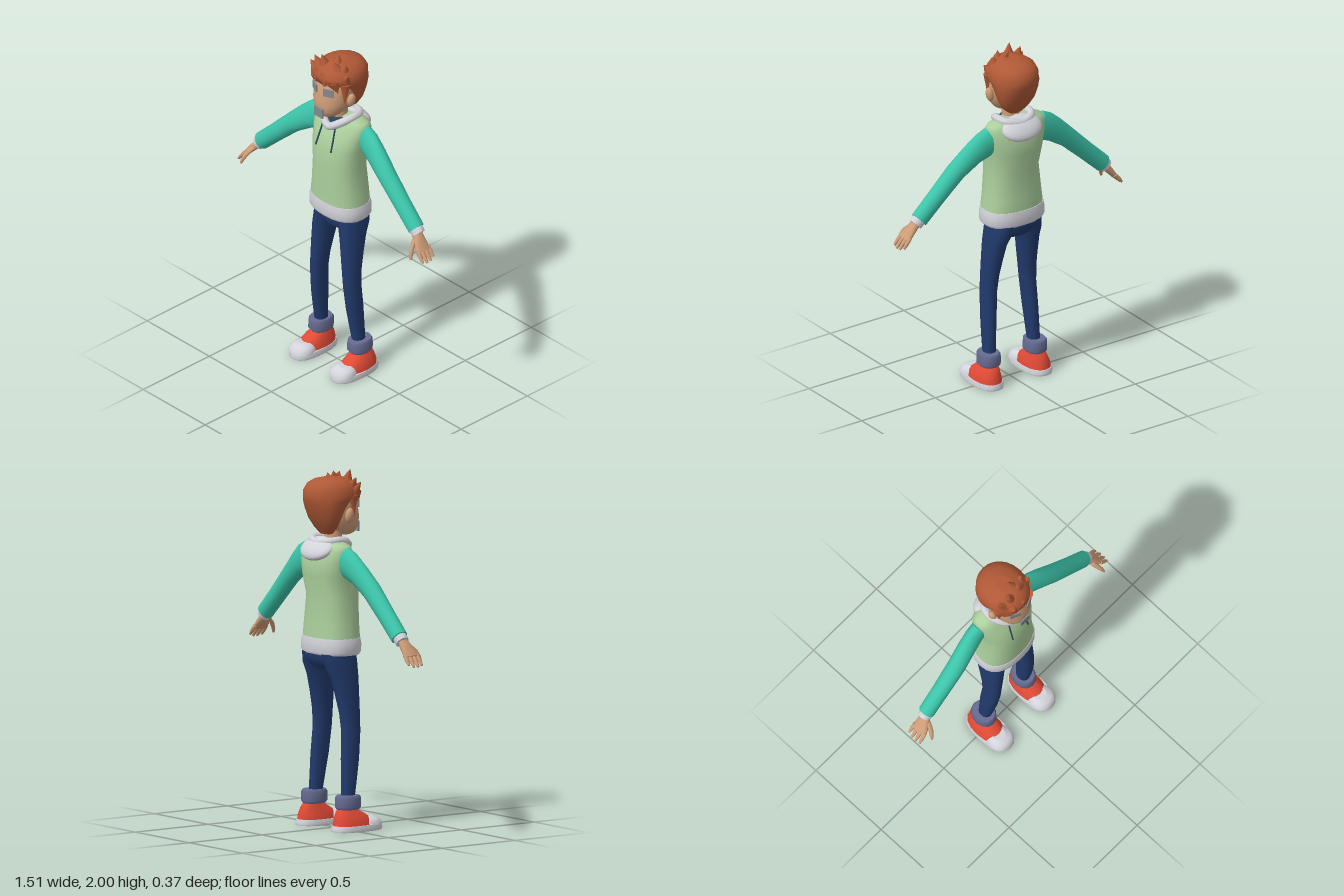
import * as THREE from 'three';

const mat = (name, color) => {
  const m = new THREE.MeshStandardMaterial({ color });
  m.name = name;
  return m;
};

// Closed skin over rings; each ring has a centre c and half-axes u, v.
function loft(rings, sides, power = 2) {
  const pos = [], idx = [];
  const e = 2 / power;
  const bend = (t) => Math.sign(t) * Math.pow(Math.abs(t), e);
  const addRing = ({ c, u, v }) => {
    for (let j = 0; j < sides; j++) {
      const a = (j / sides) * Math.PI * 2;
      const p = c.clone().addScaledVector(u, bend(Math.cos(a))).addScaledVector(v, bend(Math.sin(a)));
      pos.push(p.x, p.y, p.z);
    }
  };
  rings.forEach(addRing);
  for (let i = 0; i < rings.length - 1; i++) {
    for (let j = 0; j < sides; j++) {
      const k = (j + 1) % sides;
      const a = i * sides + j, b = i * sides + k;
      idx.push(a, b, b + sides, a, b + sides, a + sides);
    }
  }
  // end caps with their own corners, so the rims stay crisp
  [[rings[0], true], [rings[rings.length - 1], false]].forEach(([ring, first]) => {
    const start = pos.length / 3;
    addRing(ring);
    pos.push(ring.c.x, ring.c.y, ring.c.z);
    for (let j = 0; j < sides; j++) {
      const a = start + j, b = start + (j + 1) % sides;
      idx.push(start + sides, first ? b : a, first ? a : b);
    }
  });
  const g = new THREE.BufferGeometry();
  g.setAttribute('position', new THREE.Float32BufferAttribute(pos, 3));
  g.setIndex(idx);
  g.computeVertexNormals();
  return g;
}

// Upright body: rows of [y, half width, front z, back z, centre x]
const upright = (rows, sides = 20, power = 2.2, s = 1) => loft(rows.map(([y, rx, zf, zb, x = 0]) => ({
  c: new THREE.Vector3(x * s, y, (zf + zb) / 2),
  u: new THREE.Vector3(rx, 0, 0),
  v: new THREE.Vector3(0, 0, -(zf - zb) / 2),
})), sides, power);

// Limb along a path: rows of [x, y, z, thickness, half depth in z]
const limb = (rows, sides = 14, s = 1, power = 2) => loft(rows.map(([x, y, z, r, rz], i) => {
  const a = rows[Math.max(i - 1, 0)], b = rows[Math.min(i + 1, rows.length - 1)];
  const d = new THREE.Vector2((b[0] - a[0]) * s, b[1] - a[1]).normalize();
  return {
    c: new THREE.Vector3(x * s, y, z),
    u: new THREE.Vector3(-d.y * r, d.x * r, 0),
    v: new THREE.Vector3(0, 0, rz),
  };
}), sides, power);

export function createModel() {
  const model = new THREE.Group();
  model.name = 'figure';
  const skin = mat('skin', 0xcf9d78), hairM = mat('hair', 0xb05936), green = mat('vestGreen', 0xabcf9c);
  const teal = mat('sleeveTeal', 0x3cc5aa), white = mat('trimWhite', 0xd3d3db), navy = mat('denim', 0x213a6c);
  const cuffM = mat('cuffBlue', 0x666c92), red = mat('shoeRed', 0xe14a35), grey = mat('plateGrey', 0x858a8d);
  const dark = mat('shirtDark', 0x2b4a5c);
  const add = (name, geo, material, parent = model) => {
    const m = new THREE.Mesh(geo, material);
    m.name = name;
    parent.add(m);
    return m;
  };

  // Torso
  add('torso', upright([
    [1.05, 0.183, 0.106, -0.153], [1.15, 0.17, 0.105, -0.15], [1.3, 0.156, 0.106, -0.14],
    [1.42, 0.17, 0.102, -0.163], [1.5, 0.184, 0.074, -0.158], [1.56, 0.19, 0.04, -0.14],
    [1.592, 0.175, 0.02, -0.12], [1.615, 0.1, 0, -0.1],
  ], 24, 2.4), green);
  add('hem', upright([
    [0.978, 0.178, 0.1, -0.15], [0.995, 0.189, 0.111, -0.16], [1.04, 0.189, 0.112, -0.161], [1.072, 0.182, 0.108, -0.156],
  ], 24, 2.4), white);
  add('hips', upright([
    [0.9, 0.09, 0.055, -0.11], [0.925, 0.15, 0.068, -0.135], [0.96, 0.158, 0.072, -0.152], [1.0, 0.158, 0.072, -0.152],
  ], 20, 2.4), navy);

  // Neck, collar and hood
  add('neck', upright([[1.55, 0.05, 0.035, -0.065], [1.69, 0.05, 0.04, -0.06]], 16, 2), skin);
  add('shirtCollar', upright([[1.55, 0.075, 0.055, -0.085], [1.605, 0.062, 0.045, -0.075]], 16, 2), dark);
  const half = [[0.055, 1.58, 0.05], [0.1, 1.614, -0.02], [0.085, 1.612, -0.09]];
  const loop = [[0, 1.55, 0.064], ...half, [0, 1.6, -0.12], ...half.slice().reverse().map(([x, y, z]) => [-x, y, z])];
  add('hoodCollar', new THREE.TubeGeometry(
    new THREE.CatmullRomCurve3(loop.map((p) => new THREE.Vector3(...p)), true), 40, 0.023, 8, true), white);
  const hood = add('hood', new THREE.SphereGeometry(1, 20, 12), white);
  hood.scale.set(0.13, 0.042, 0.083);
  hood.rotation.x = -0.75;
  hood.position.set(0, 1.567, -0.12);

  // Head, rising from chin to crown
  const head = new THREE.Group();
  head.name = 'head';
  model.add(head);
  add('face', upright([
    [1.633, 0.035, 0.1, 0], [1.645, 0.06, 0.122, -0.02], [1.68, 0.092, 0.136, -0.06], [1.73, 0.113, 0.139, -0.09],
    [1.8, 0.118, 0.127, -0.1], [1.87, 0.115, 0.112, -0.1], [1.92, 0.08, 0.07, -0.07],
  ], 24, 2.1), skin);
  head.add(model.children.pop());
  add('mouth', new THREE.BoxGeometry(0.066, 0.058, 0.008), grey, head).position.set(0, 1.673, 0.14);

  // Hair cap, low behind and cut high in front
  add('hairCap', upright([
    [1.645, 0.045, -0.03, -0.085], [1.68, 0.085, -0.015, -0.11], [1.73, 0.114, 0.005, -0.142],
    [1.79, 0.13, 0.04, -0.168], [1.835, 0.138, 0.08, -0.183], [1.855, 0.139, 0.128, -0.186],
    [1.89, 0.136, 0.128, -0.186], [1.925, 0.118, 0.105, -0.165], [1.948, 0.085, 0.075, -0.125], [1.958, 0.04, 0.035, -0.07],
  ], 24, 2.1), hairM, head);
  // Hair locks: base point, tip point, radius
  [
    [[-0.09, 1.87, 0.06], [-0.142, 1.925, 0.07], 0.045], [[-0.075, 1.89, 0.05], [-0.12, 1.962, 0.06], 0.045],
    [[-0.03, 1.9, 0.05], [-0.05, 2.0, 0.07], 0.05], [[0.03, 1.91, 0.03], [0.008, 1.99, -0.005], 0.05],
    [[0.05, 1.91, 0.04], [0.035, 1.98, 0.06], 0.05], [[0.07, 1.89, 0.02], [0.095, 1.968, 0.02], 0.055],
    [[0.1, 1.88, 0.03], [0.135, 1.92, 0.05], 0.04], [[-0.05, 1.87, 0.085], [-0.07, 1.925, 0.13], 0.045],
    [[0.02, 1.87, 0.09], [0.0, 1.92, 0.13], 0.045], [[0.105, 1.86, 0.04], [0.11, 1.73, 0.05], 0.034],
    [[-0.105, 1.86, 0.04], [-0.11, 1.73, 0.05], 0.034], [[-0.07, 1.87, 0.09], [-0.1, 1.815, 0.085], 0.035],
    [[0.07, 1.87, 0.09], [0.1, 1.815, 0.085], 0.035],
  ].forEach(([from, to, r]) => {
    const a = new THREE.Vector3(...from), b = new THREE.Vector3(...to), d = b.clone().sub(a);
    const lock = add('hairLock', new THREE.ConeGeometry(r, d.length(), 8), hairM, head);
    lock.position.copy(a).lerp(b, 0.5);
    lock.quaternion.setFromUnitVectors(new THREE.Vector3(0, 1, 0), d.normalize());
  });

  [1, -1].forEach((s) => {
    const side = s > 0 ? 'left' : 'right';

    // Eye plate, ear and drawstring
    const eye = add(side + 'Eye', new THREE.BoxGeometry(0.06, 0.046, 0.008), grey, head);
    eye.position.set(s * 0.053, 1.81, 0.118);
    eye.rotation.y = s * 0.42;
    const ear = add(side + 'Ear', new THREE.SphereGeometry(1, 12, 10), skin, head);
    ear.scale.set(0.022, 0.043, 0.025);
    ear.position.set(s * 0.124, 1.753, 0.01);
    ear.rotation.z = -s * 0.2;
    add(side + 'Drawstring', new THREE.TubeGeometry(new THREE.CatmullRomCurve3([
      new THREE.Vector3(s * 0.048, 1.56, 0.06), new THREE.Vector3(s * 0.055, 1.49, 0.082), new THREE.Vector3(s * 0.061, 1.42, 0.106),
    ]), 8, 0.005, 6), dark);

    // Arm
    const arm = new THREE.Group();
    arm.name = side + 'Arm';
    model.add(arm);
    add('sleeve', limb([
      [0.16, 1.51, -0.05, 0.084, 0.045], [0.21, 1.487, -0.047, 0.083, 0.047], [0.28, 1.443, -0.037, 0.07, 0.05],
      [0.38, 1.362, -0.023, 0.057, 0.052], [0.5, 1.248, -0.018, 0.052, 0.048], [0.622, 1.133, -0.015, 0.05, 0.046],
    ], 16, s), teal, arm);
    add('wristBand', limb([[0.61, 1.144, -0.013, 0.043, 0.04], [0.645, 1.11, -0.012, 0.04, 0.037]], 14, s), white, arm);
    add('palm', limb([
      [0.63, 1.122, -0.008, 0.026, 0.028], [0.655, 1.093, -0.002, 0.022, 0.034],
      [0.685, 1.057, 0.006, 0.018, 0.046], [0.708, 1.032, 0.008, 0.013, 0.046],
    ], 12, s, 2.4), skin, arm);
    [-0.032, -0.007, 0.019, 0.044].forEach((z, i) => {
      const reach = [0.8, 0.97, 1, 0.9][i];
      add('finger', limb([
        [0.695, 1.046, z, 0.012, 0.0125], [0.695 + 0.032 * reach, 1.046 - 0.037 * reach, z * 1.08, 0.011, 0.0115],
        [0.695 + 0.055 * reach, 1.046 - 0.066 * reach, z * 1.1, 0.007, 0.007],
      ], 8, s), skin, arm);
    });
    add('thumb', limb([
      [0.648, 1.095, 0.022, 0.014, 0.014], [0.665, 1.06, 0.058, 0.014, 0.016],
      [0.678, 1.025, 0.078, 0.011, 0.012], [0.685, 1.0, 0.085, 0.006, 0.007],
    ], 8, s), skin, arm);

    // Leg
    const leg = new THREE.Group();
    leg.name = side + 'Leg';
    model.add(leg);
    add('trouserLeg', upright([
      [0.17, 0.034, 0.015, -0.06, 0.151], [0.28, 0.036, 0.035, -0.057, 0.147], [0.4, 0.038, 0.055, -0.055, 0.141],
      [0.55, 0.041, 0.069, -0.045, 0.133], [0.65, 0.045, 0.07, -0.053, 0.126], [0.75, 0.051, 0.07, -0.074, 0.118],
      [0.85, 0.056, 0.07, -0.1, 0.11], [0.92, 0.061, 0.07, -0.134, 0.1], [0.985, 0.07, 0.07, -0.148, 0.085],
    ], 16, 2.2, s), navy, leg);
    add('trouserCuff', upright([
      [0.122, 0.055, 0.04, -0.09, 0.157], [0.135, 0.063, 0.05, -0.1, 0.157],
      [0.188, 0.061, 0.05, -0.1, 0.157], [0.2, 0.054, 0.042, -0.093, 0.157],
    ], 12, 2.2, s), cuffM, leg);

    // Shoe
    add('sole', upright([
      [0, 0.078, 0.182, -0.128, 0.165], [0.012, 0.081, 0.186, -0.131, 0.165], [0.034, 0.077, 0.18, -0.124, 0.165],
    ], 16, 2.6, s), white, leg);
    add('shoeUpper', upright([
      [0.03, 0.074, 0.125, -0.122, 0.165], [0.06, 0.069, 0.118, -0.118, 0.165],
      [0.088, 0.058, 0.085, -0.11, 0.163], [0.112, 0.048, 0.045, -0.1, 0.16], [0.128, 0.04, 0.015, -0.085, 0.158],
    ], 16, 2.3, s), red, leg);
    add('toeCap', upright([
      [0.03, 0.075, 0.18, 0.04, 0.165], [0.05, 0.071, 0.175, 0.04, 0.165],
      [0.066, 0.06, 0.158, 0.05, 0.165], [0.077, 0.036, 0.13, 0.06, 0.165],
    ], 16, 2.4, s), white, leg);
  });

  return model;
}
